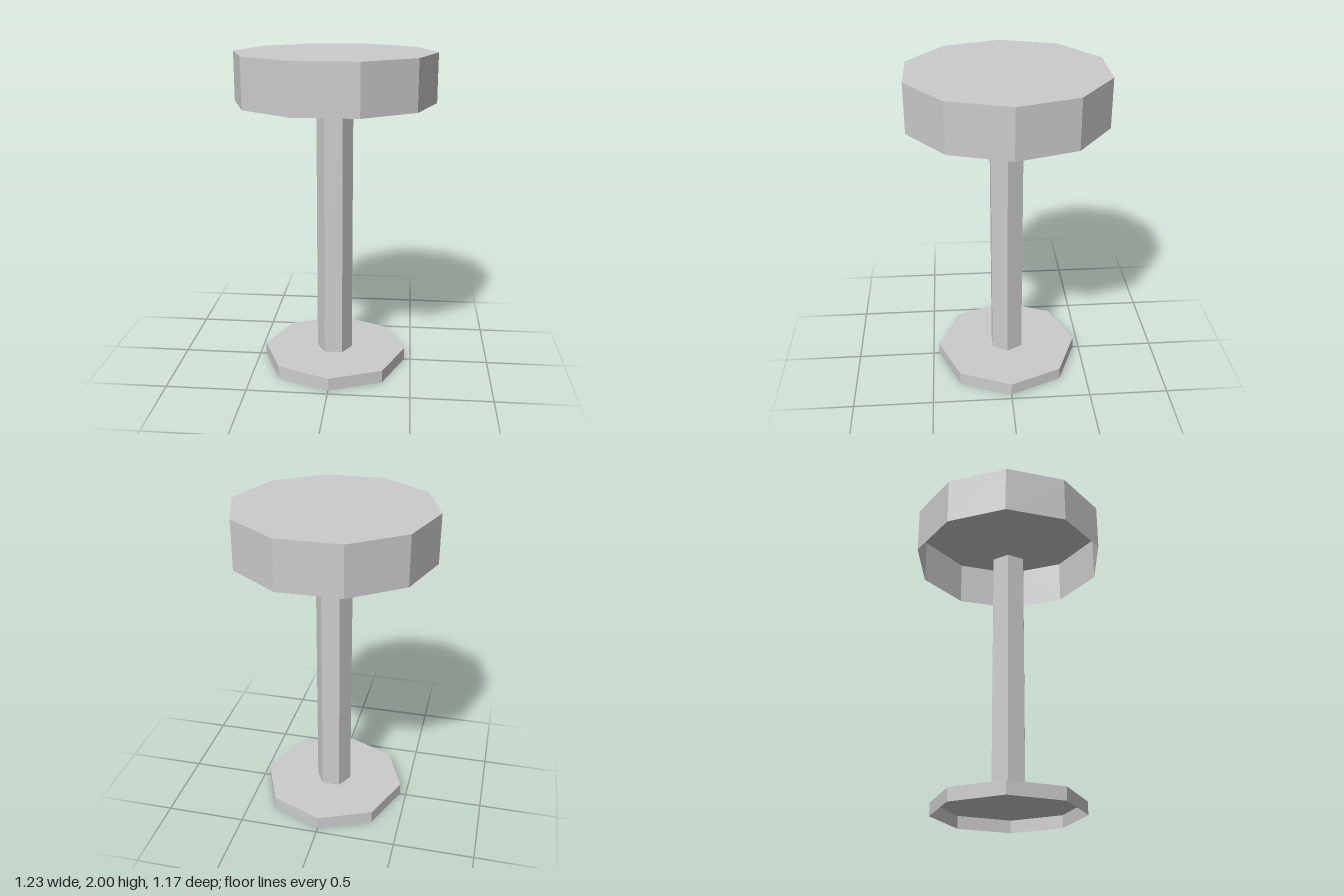
import * as THREE from 'three';

const material = new THREE.MeshStandardMaterial({
  color: 0xcccccc,
  flatShading: true,
  side: THREE.DoubleSide,
});

// Open faceted tube with one corner on the +x axis
function addTube(parent, name, radius, sides, bottom, top) {
  const height = top - bottom;
  const geometry = new THREE.CylinderGeometry(radius, radius, height, sides, 1, true, Math.PI / 2);
  const mesh = new THREE.Mesh(geometry, material);
  mesh.name = name;
  mesh.position.y = bottom + height / 2;
  parent.add(mesh);
}

// Hollow disc: a side wall closed on top and open underneath
function makeShell(name, radius, sides, bottom, top) {
  const shell = new THREE.Group();
  shell.name = name;
  addTube(shell, name + 'Wall', radius, sides, bottom, top);
  const cap = new THREE.Mesh(new THREE.CircleGeometry(radius, sides).rotateX(-Math.PI / 2), material);
  cap.name = name + 'Top';
  cap.position.y = top;
  shell.add(cap);
  return shell;
}

export function createModel() {
  const stool = new THREE.Group();
  stool.name = 'stool';

  // Ten-sided seat and eight-sided foot plate
  stool.add(makeShell('seat', 0.615, 10, 1.7, 2));
  stool.add(makeShell('base', 0.46, 8, 0, 0.08));

  // Six-sided post between them
  addTube(stool, 'post', 0.113, 6, 0.08, 1.7);

  return stool;
}
